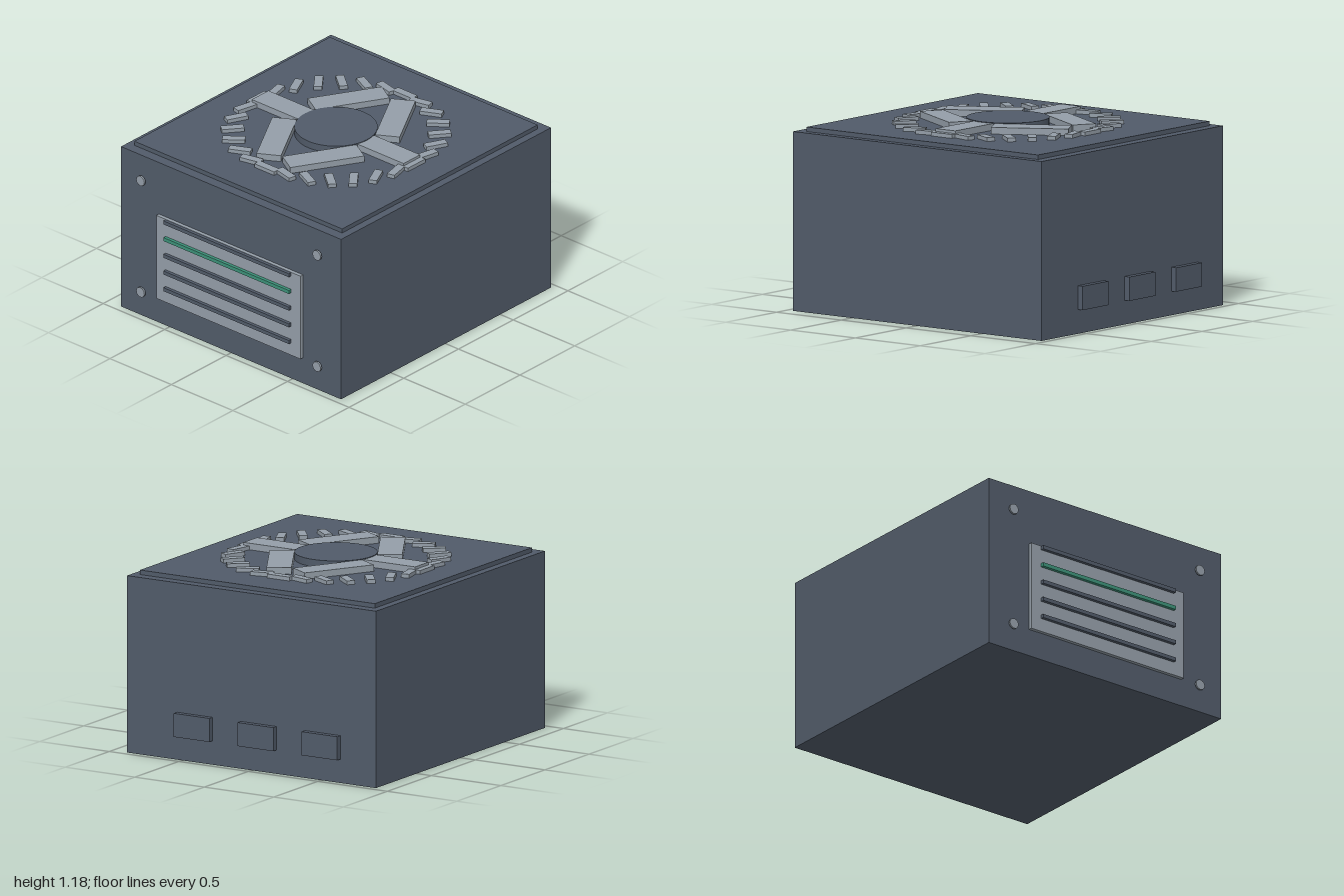
import * as THREE from 'three';

export function createModel() {
  const model = new THREE.Group();
  model.name = 'powerSupply';

  const dark = new THREE.MeshStandardMaterial({ name: 'dark slate', color: 0x515b69 });
  const grey = new THREE.MeshStandardMaterial({ name: 'light grey', color: 0x949ea8 });
  const green = new THREE.MeshStandardMaterial({ name: 'green', color: 0x3c9078 });

  const add = (name, geometry, material, x, y, z, parent = model) => {
    const mesh = new THREE.Mesh(geometry, material);
    mesh.name = name;
    mesh.position.set(x, y, z);
    parent.add(mesh);
    return mesh;
  };
  const box = (w, h, d) => new THREE.BoxGeometry(w, h, d);

  // Case and raised lid
  const cz = -0.004;
  add('case', box(1.79, 1.103, 1.918), dark, 0, 0.5515, cz);
  add('lid', box(1.69, 0.028, 1.786), dark, 0, 1.117, cz);

  // Fan: hub, six blades and a ring of vent tabs
  const fan = new THREE.Group();
  fan.name = 'fan';
  fan.position.set(0, 1.13, cz);
  model.add(fan);
  add('hub', new THREE.CylinderGeometry(0.253, 0.253, 0.046, 40), dark, 0, 0.023, 0, fan);
  for (let i = 0; i < 6; i++) {
    const t = (i * Math.PI) / 3;
    const blade = add('blade', box(0.474, 0.042, 0.152), grey,
      0.38 * Math.cos(t), 0.021, 0.38 * Math.sin(t), fan);
    blade.rotation.y = t;
  }
  const tabs = 28;
  for (let i = 0; i < tabs; i++) {
    const t = (i * Math.PI * 2) / tabs;
    const length = i % 7 === 0 ? 0.16 : 0.14;
    const tab = add('ventTab', box(0.052, 0.025, length), grey,
      0.63 * Math.cos(t), 0.0125, 0.63 * Math.sin(t), fan);
    tab.rotation.y = t;
  }

  // Front panel with five slats, one of them green
  add('frontPanel', box(1.172, 0.572, 0.024), grey, 0, 0.462, 0.967);
  for (let i = 0; i < 5; i++) {
    add('slat', box(1.02, 0.024, 0.022), i === 1 ? green : dark, 0, 0.734 - i * 0.1152, 0.989);
  }

  // Corner screws
  const screw = new THREE.CylinderGeometry(0.033, 0.033, 0.012, 12).rotateX(Math.PI / 2);
  for (const x of [-0.717, 0.717]) {
    for (const y of [0.17, 0.938]) add('screw', screw, grey, x, y, 0.973);
  }

  // Sockets on the back
  for (const x of [-0.512, -0.052, 0.408]) {
    add('socket', box(0.256, 0.147, 0.04), dark, x, 0.222, -0.98);
  }

  return model;
}
